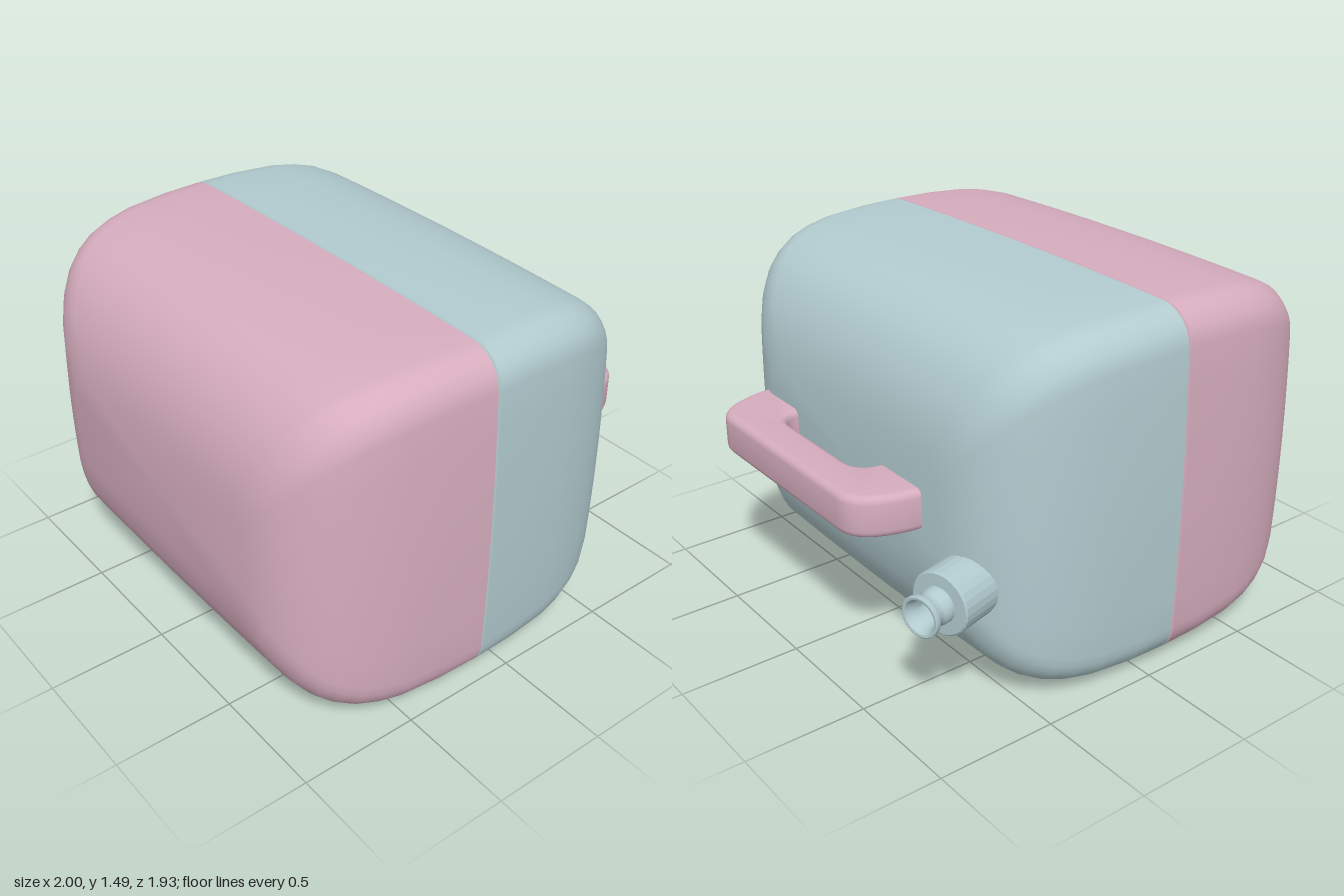
import * as THREE from 'three';
import { toCreasedNormals } from 'three/addons/utils/BufferGeometryUtils.js';

const pink = new THREE.MeshStandardMaterial({ color: 0xd6adbe });
const blue = new THREE.MeshStandardMaterial({ color: 0xb2cbcf });
const blueThin = new THREE.MeshStandardMaterial({ color: 0xb2cbcf, side: THREE.DoubleSide });
const MID_Y = 0.751, SEAM_Z = 0.128;

// Body sections: distance from the seam, half width, half height, corner radius
const SECTIONS = [
  [0, 0.992, 0.741, 0.15], [0.005, 0.998, 0.747, 0.15], [0.18, 0.994, 0.745, 0.15],
  [0.36, 0.983, 0.734, 0.15], [0.46, 0.968, 0.718, 0.15], [0.55, 0.945, 0.694, 0.15],
  [0.62, 0.918, 0.66, 0.15], [0.68, 0.883, 0.615, 0.145], [0.735, 0.835, 0.55, 0.14],
  [0.78, 0.775, 0.47, 0.13], [0.815, 0.705, 0.38, 0.12], [0.838, 0.61, 0.24, 0.1],
];

// Rounded rectangle with slightly bowed sides, counter-clockwise
function ring(hx, hy, r) {
  const bow = 0.012, arc = 6, side = 8, pts = [];
  const signs = [[1, 1], [-1, 1], [-1, -1], [1, -1]];
  const corner = (k, i) => {
    const a = (k + i / arc) * Math.PI / 2;
    const [sx, sy] = signs[k % 4];
    return new THREE.Vector2(sx * (hx - bow - r) + r * Math.cos(a), sy * (hy - bow - r) + r * Math.sin(a));
  };
  for (let k = 0; k < 4; k++) {
    for (let i = 0; i <= arc; i++) pts.push(corner(k, i));
    const a = corner(k, arc), b = corner(k + 1, 0);
    const out = new THREE.Vector2(b.y - a.y, a.x - b.x).normalize();
    for (let i = 1; i < side; i++) {
      const t = i / side;
      pts.push(a.clone().lerp(b, t).addScaledVector(out, bow * 4 * t * (1 - t)));
    }
  }
  return pts;
}

// Half shell lofted from the seam to a closed end; dir is +1 front, -1 back
function halfShell(dir) {
  const pos = [], idx = [];
  let n = 0;
  for (const [d, hx, hy, r] of SECTIONS) {
    const pts = ring(hx, hy, r);
    n = pts.length;
    for (const p of pts) pos.push(p.x, p.y + MID_Y, SEAM_Z + dir * d);
  }
  const tri = (a, b, c) => (dir > 0 ? idx.push(a, b, c) : idx.push(a, c, b));
  const last = (SECTIONS.length - 1) * n;
  const centre = pos.length / 3;
  pos.push(0, MID_Y, SEAM_Z + dir * 0.84);
  for (let j = 0; j < n; j++) {
    const k = (j + 1) % n;
    for (let s = 0; s < last; s += n) {
      tri(s + j, s + k, s + n + k);
      tri(s + j, s + n + k, s + n + j);
    }
    tri(last + j, last + k, centre);
  }
  const geo = new THREE.BufferGeometry();
  geo.setAttribute('position', new THREE.Float32BufferAttribute(pos, 3));
  geo.setIndex(idx);
  return toCreasedNormals(geo, 0.7);
}

// Carrying handle: arched outline extruded upward with rounded edges
function handleGeometry() {
  const b = 0.03;
  const s = new THREE.Shape();
  s.moveTo(-0.502 + b, 0.67);
  s.lineTo(-0.495 + b, 0.74);
  s.bezierCurveTo(-0.47 + b, 0.86, -0.43 + b, 0.966 - b, -0.32, 0.966 - b);
  s.lineTo(0.5, 0.966 - b);
  s.bezierCurveTo(0.6 - b, 0.966 - b, 0.645 - b, 0.86, 0.668 - b, 0.74);
  s.lineTo(0.675 - b, 0.67);
  s.lineTo(0.385 + b, 0.67);
  s.lineTo(0.385 + b, 0.72);
  s.bezierCurveTo(0.385 + b, 0.79 - b, 0.35 + b, 0.8 - b + 0.06, 0.29, 0.8 + b);
  s.lineTo(-0.12, 0.8 + b);
  s.bezierCurveTo(-0.18 - b, 0.8 - b + 0.06, -0.215 - b, 0.79 - b, -0.215 - b, 0.72);
  s.lineTo(-0.215 - b, 0.67);
  s.closePath();
  const geo = new THREE.ExtrudeGeometry(s, {
    depth: 0.17 - 2 * b, bevelThickness: b, bevelSize: b, bevelSegments: 4, curveSegments: 10,
  });
  // outline y becomes -z, extrusion becomes +y
  geo.rotateX(-Math.PI / 2);
  geo.translate(0, 0.67 + b, 0);
  return toCreasedNormals(geo, 0.7);
}

// Spout built along +y, with its origin on the top of the collar
function buildSpout() {
  const spout = new THREE.Group();
  spout.name = 'spout';
  const lathe = (name, pts, sides, crease) => {
    const geo = new THREE.LatheGeometry(pts.map(([r, y]) => new THREE.Vector2(r, y)), sides);
    const mesh = new THREE.Mesh(toCreasedNormals(geo, crease), blueThin);
    mesh.name = name;
    spout.add(mesh);
  };
  lathe('spoutCollar', [[0.127, -0.22], [0.127, -0.006], [0.121, 0], [0.07, 0.002]], 28, 0.1);
  lathe('spoutNozzle', [
    [0.072, 0], [0.07, 0.03], [0.06, 0.045], [0.06, 0.06], [0.066, 0.078], [0.08, 0.088], [0.082, 0.092],
    [0.082, 0.108], [0.077, 0.111], [0.068, 0.109], [0.056, 0.08], [0.05, 0.05], [0.05, 0.0], [0, -0.01],
  ], 32, 0.6);
  // point backward and lean outward
  spout.quaternion.setFromUnitVectors(new THREE.Vector3(0, 1, 0), new THREE.Vector3(-0.26, 0, -0.966).normalize());
  spout.position.set(-0.75, 0.523, -0.818);
  return spout;
}

export function createModel() {
  const model = new THREE.Group();
  model.name = 'canister';
  const add = (name, geo, mat) => {
    const mesh = new THREE.Mesh(geo, mat);
    mesh.name = name;
    model.add(mesh);
  };
  add('frontShell', halfShell(1), pink);
  add('backShell', halfShell(-1), blue);
  add('handle', handleGeometry(), pink);
  model.add(buildSpout());
  return model;
}
